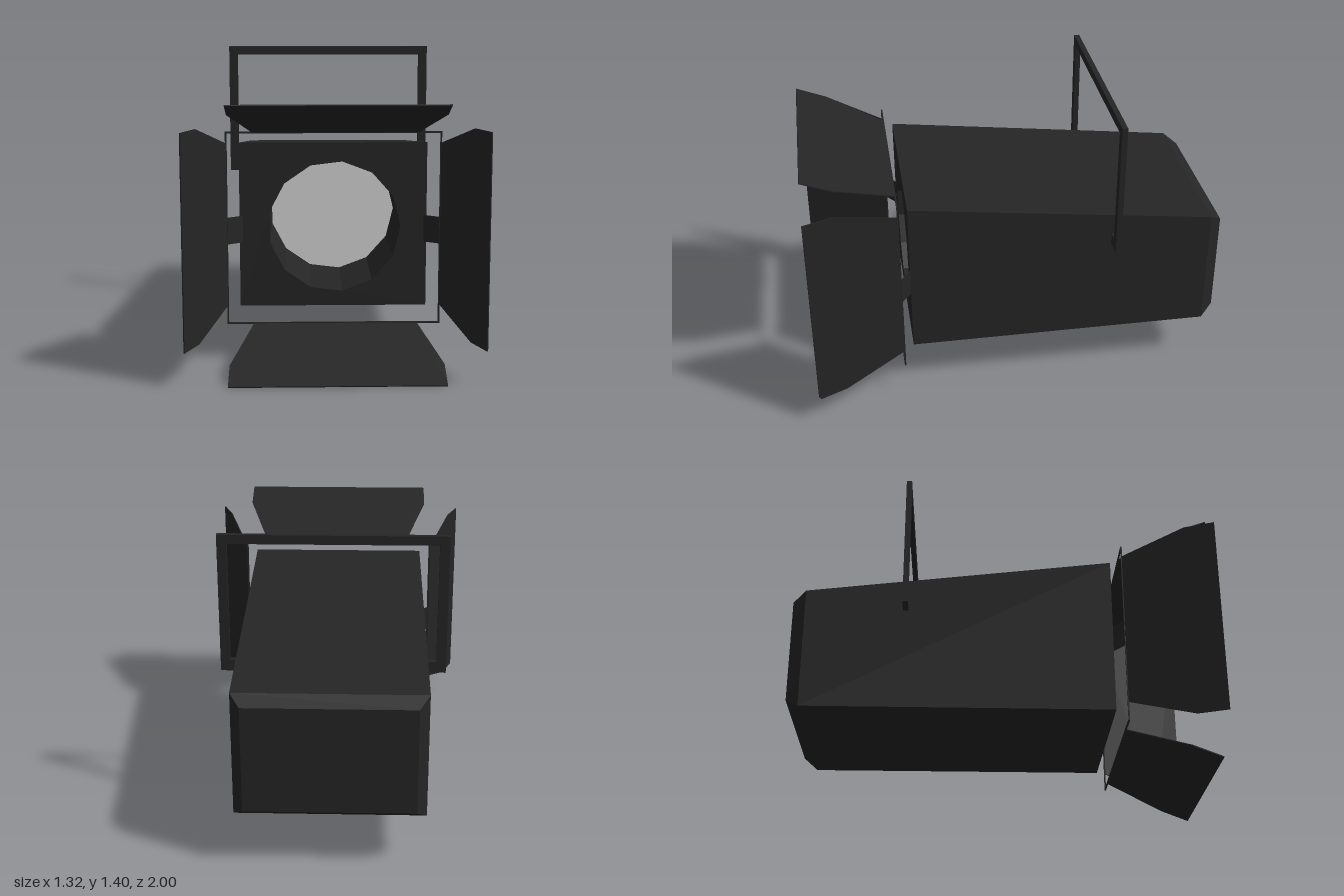
import * as THREE from 'three';

export function createModel() {
  const black = new THREE.MeshStandardMaterial({ color: 0x252525, flatShading: true, side: THREE.DoubleSide });
  black.name = 'matteBlack';
  const glass = new THREE.MeshStandardMaterial({ color: 0xd8d8d8, side: THREE.DoubleSide });
  glass.name = 'lensGrey';

  const model = new THREE.Group();
  model.name = 'stageLight';
  const add = (name, geometry, parent = model, material = black) => {
    const mesh = new THREE.Mesh(geometry, material);
    mesh.name = name;
    parent.add(mesh);
    return mesh;
  };
  const box = (name, x0, x1, y0, y1, z0, z1, parent) =>
    add(name, new THREE.BoxGeometry(x1 - x0, y1 - y0, z1 - z0), parent)
      .position.set((x0 + x1) / 2, (y0 + y1) / 2, (z0 + z1) / 2);

  // Housing: rectangular cross-sections lofted from front to back
  const FRONT = 0.525;
  const sections = [ // x0, x1, y0, y1, z
    [-0.44, 0.43, 0.245, 1.018, FRONT],
    [-0.442, 0.43, 0.245, 0.84, -0.937],
    [-0.395, 0.383, 0.29, 0.797, -1],
  ];
  const rings = sections.map(([x0, x1, y0, y1, z]) => [[x0, y0, z], [x1, y0, z], [x1, y1, z], [x0, y1, z]]);
  const points = [];
  const quad = (a, b, c, d) => points.push(...a, ...b, ...c, ...a, ...c, ...d);
  for (let s = 0; s < 2; s++) {
    for (let i = 0; i < 4; i++) {
      const j = (i + 1) % 4;
      quad(rings[s][i], rings[s + 1][i], rings[s + 1][j], rings[s][j]);
    }
  }
  const back = rings[2];
  quad(back[3], back[2], back[1], back[0]);
  const shell = new THREE.BufferGeometry();
  shell.setAttribute('position', new THREE.Float32BufferAttribute(points, 3));
  shell.computeVertexNormals();
  add('housing', shell);

  // Front plate with a 13-sided opening, its tube and the recessed lens
  const SIDES = 13, R = 0.309, CY = 0.622, DEPTH = 0.47;
  const plate = new THREE.Shape(rings[0].map(([x, y]) => new THREE.Vector2(x, y)));
  const hole = [];
  for (let i = 0; i < SIDES; i++) {
    const a = (-i / SIDES) * Math.PI * 2;
    hole.push(new THREE.Vector2(R * Math.cos(a), CY + R * Math.sin(a)));
  }
  plate.holes.push(new THREE.Path(hole));
  add('frontPlate', new THREE.ShapeGeometry(plate)).position.z = FRONT;

  const tube = new THREE.CylinderGeometry(R, R, DEPTH, SIDES, 1, true, Math.PI / 2).rotateX(Math.PI / 2);
  add('lensTube', tube).position.set(0, CY, FRONT - DEPTH / 2);
  add('lens', new THREE.CircleGeometry(R, SIDES), model, glass).position.set(0, CY, FRONT - DEPTH);

  // Thin wire frame that carries the barn doors
  const frame = new THREE.Group();
  frame.name = 'doorFrame';
  model.add(frame);
  const W = 0.008, zA = 0.57, zB = 0.577;
  box('frameLeft', 0.492 - W, 0.492, 0.17, 1.075, zA, zB, frame);
  box('frameRight', -0.5, -0.5 + W, 0.17, 1.075, zA, zB, frame);
  box('frameTop', -0.5, 0.492, 1.075 - W, 1.075, zA, zB, frame);
  box('frameBottom', -0.5, 0.492, 0.17, 0.17 + W, zA, zB, frame);

  // Slanted brackets between the housing and the frame
  for (const side of [-1, 1]) {
    const bracket = add('frameBracket', new THREE.BoxGeometry(0.09, 0.125, 0.006));
    bracket.position.set(-0.004 + side * 0.459, 0.6125, 0.55);
    bracket.rotation.y = -side * 0.63;
  }

  // Four barn doors, each opening outward from its hinge
  const LENGTH = 0.456, KINK = 0.31;
  const doorShape = new THREE.Shape([
    [-0.38, 0], [0.38, 0], [0.48, KINK], [0.48, LENGTH], [-0.48, LENGTH], [-0.48, KINK],
  ].map(([x, y]) => new THREE.Vector2(x, y)));
  const doorGeometry = new THREE.ExtrudeGeometry(doorShape, { depth: 0.005, bevelEnabled: false });
  doorGeometry.translate(0, 0, -0.0025);
  const doors = [ // name, turn about z, hinge x, hinge y
    ['topDoor', 0, 0.005, 1.072],
    ['rightDoor', Math.PI / 2, -0.497, 0.641],
    ['bottomDoor', Math.PI, 0.005, 0.172],
    ['leftDoor', -Math.PI / 2, 0.49, 0.641],
  ];
  for (const [name, turn, x, y] of doors) {
    const pivot = new THREE.Group();
    pivot.name = name;
    pivot.position.set(x, y, 0.574);
    pivot.rotation.z = turn;
    add(name + 'Panel', doorGeometry, pivot).rotation.x = 1.2;
    model.add(pivot);
  }

  // Yoke: a flat bar over the housing with feet turned in to its sides
  const yoke = new THREE.Group();
  yoke.name = 'yoke';
  model.add(yoke);
  const z0 = -0.472, z1 = -0.446;
  box('yokeBar', -0.535, 0.522, 1.365, 1.408, z0, z1, yoke);
  box('yokeRightLeg', -0.535, -0.49, 0.742, 1.365, z0, z1, yoke);
  box('yokeLeftLeg', 0.477, 0.522, 0.742, 1.365, z0, z1, yoke);
  box('yokeRightFoot', -0.49, -0.435, 0.742, 0.797, z0, z1, yoke);
  box('yokeLeftFoot', 0.425, 0.477, 0.742, 0.797, z0, z1, yoke);

  return model;
}
